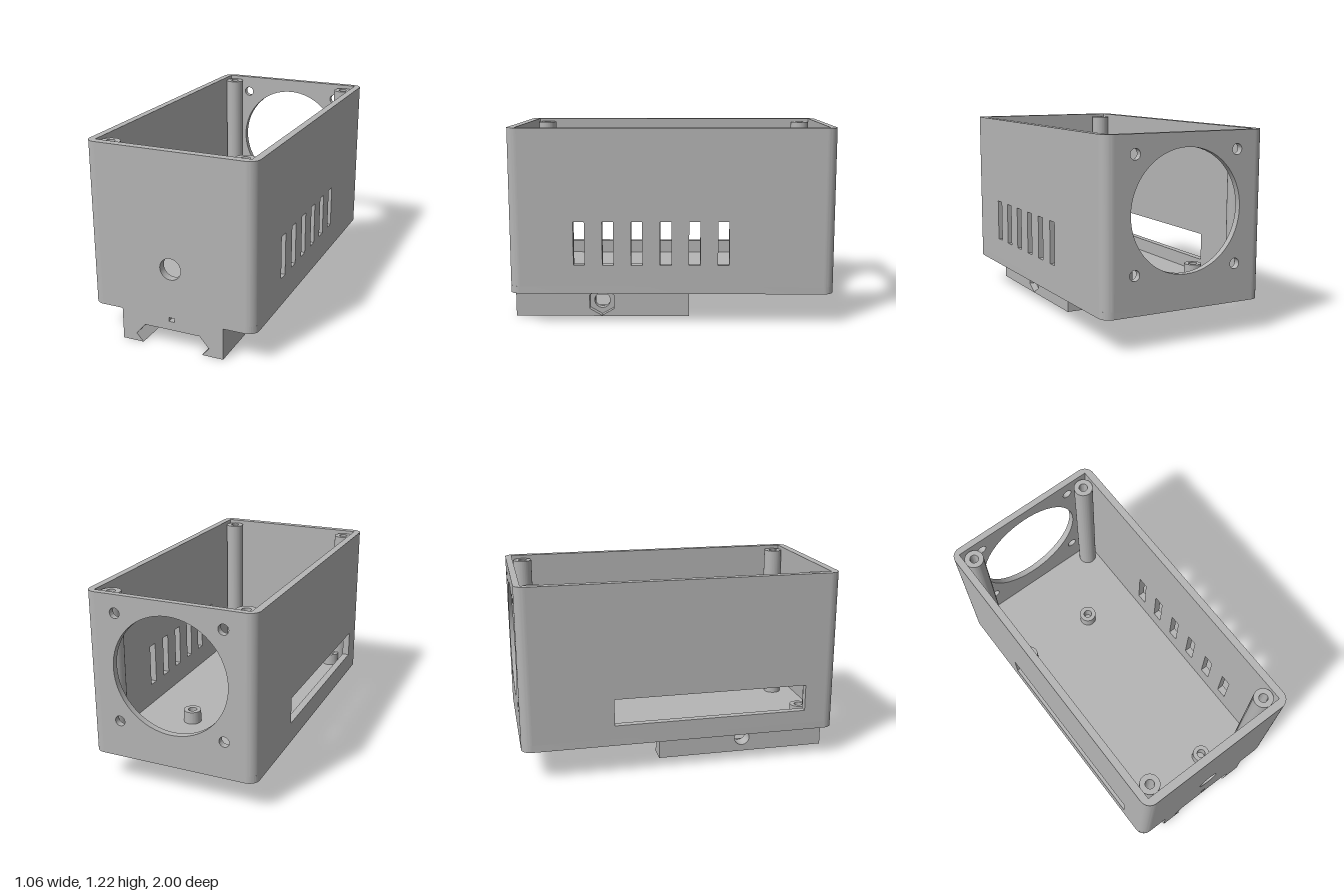
import * as THREE from 'three';
import { toCreasedNormals } from 'three/addons/utils/BufferGeometryUtils.js';

const TOP = 1.22, BASE = 0.2, FLOOR = 0.245;
const HX = 0.53, HZ = 1, R = 0.065;            // outer half sizes and corner radius
const SIDE = 0.045, FRONT = 0.05, BACK = 0.04; // wall thicknesses

const poly = (pts) => new THREE.Shape(pts.map(([a, b]) => new THREE.Vector2(a, b)));
const rect = (a0, b0, a1, b1) => poly([[a0, b0], [a1, b0], [a1, b1], [a0, b1]]);
const disc = (a, b, r) => new THREE.Shape().absarc(a, b, r, 0, Math.PI * 2, false);
const cut = (shape, ...holes) => { shape.holes.push(...holes); return shape; };

export function createModel() {
  const model = new THREE.Group();
  model.name = 'railMountedEnclosure';
  const grey = new THREE.MeshStandardMaterial({ color: 0xb5b5b5 });
  grey.name = 'grey plastic';

  // Extrude a shape between two positions along the given axis.
  // Shape coordinates: (x, y) for z, (z, y) for x, (x, z) for y.
  function part(name, shape, axis, from, to, parent = model) {
    const geo = new THREE.ExtrudeGeometry(shape, { depth: to - from, bevelEnabled: false, curveSegments: 32 });
    if (axis === 'x') geo.rotateY(-Math.PI / 2).translate(to, 0, 0);
    if (axis === 'y') geo.rotateX(Math.PI / 2).translate(0, to, 0);
    if (axis === 'z') geo.translate(0, 0, from);
    const mesh = new THREE.Mesh(toCreasedNormals(geo, 0.5), grey);
    mesh.name = name;
    parent.add(mesh);
    return mesh;
  }

  // Floor with rounded corners
  const floor = new THREE.Shape();
  floor.absarc(HX - R, HZ - R, R, 0, Math.PI / 2);
  floor.absarc(R - HX, HZ - R, R, Math.PI / 2, Math.PI);
  floor.absarc(R - HX, R - HZ, R, Math.PI, Math.PI * 1.5);
  floor.absarc(HX - R, R - HZ, R, Math.PI * 1.5, Math.PI * 2);
  part('floor', floor, 'y', BASE, FLOOR);

  // Corner columns joining the walls
  for (const sx of [1, -1]) for (const sz of [1, -1]) {
    const cx = HX - R, cz = HZ - R;
    const ix = HX - SIDE, iz = HZ - (sz > 0 ? FRONT : BACK);
    const pts = [];
    for (let i = 0; i <= 12; i++) {
      const a = (i / 12) * Math.PI / 2;
      pts.push([cx + R * Math.cos(a), cz + R * Math.sin(a)]);
    }
    pts.push([cx, iz], [ix, iz], [ix, cz]);
    part('wallCorner', poly(pts.map(([x, z]) => [sx * x, sz * z])), 'y', FLOOR, TOP);
  }

  // Front wall with cable hole
  const wx = HX - R, wz = HZ - R;
  part('frontWall', cut(rect(-wx, FLOOR, wx, TOP), disc(0, 0.512, 0.067)), 'z', HZ - FRONT, HZ);

  // Back wall with fan opening and four screw holes
  const fanY = 0.772, fanScrew = 0.337;
  const back = cut(rect(-wx, FLOOR, wx, TOP), disc(0, fanY, 0.363));
  for (const sx of [1, -1]) for (const sy of [1, -1])
    cut(back, disc(sx * fanScrew, fanY + sy * fanScrew, 0.032));
  part('backWall', back, 'z', -HZ, BACK - HZ);

  // Side wall with ventilation slots
  const slotted = rect(-wz, FLOOR, wz, TOP);
  for (let i = 0; i < 6; i++) {
    const z = 0.568 - i * 0.1775;
    cut(slotted, rect(z - 0.034, 0.38, z + 0.034, 0.65));
  }
  part('slottedWall', slotted, 'x', HX - SIDE, HX);

  // Side wall with long connector window
  part('windowWall', cut(rect(-wz, FLOOR, wz, TOP), rect(-0.43, 0.33, 0.8, 0.5)), 'x', -HX, SIDE - HX);

  // Lid screw posts and board standoffs
  for (const x of [-0.425, 0.42]) for (const z of [-0.89, 0.888])
    part('lidPost', cut(disc(x, z, 0.06), disc(x, z, 0.027)), 'y', FLOOR, 1.2);
  for (const x of [-0.39, 0.12]) for (const z of [-0.48, 0.81])
    part('boardStandoff', cut(disc(x, z, 0.055), disc(x, z, 0.027)), 'y', FLOOR, 0.325);

  // Rail clamp under the floor
  const clamp = new THREE.Group();
  clamp.name = 'railClamp';
  model.add(clamp);
  const z0 = -0.11, z1 = 1, boltZ = 0.45, boltY = 0.093, boltR = 0.05;
  const bolt = () => disc(boltZ, boltY, boltR);
  const hex = poly([...Array(6)].map((_, i) => {
    const a = (i + 0.5) * Math.PI / 3;
    return [boltZ + 0.09 * Math.cos(a), boltY + 0.09 * Math.sin(a)];
  }));
  const leg = () => rect(z0, 0, z1, BASE);

  // Legs: bolt hole through both, hexagonal nut pocket on one
  part('clampLeg', cut(leg(), bolt()), 'x', -0.33, -0.24, clamp);
  part('clampLeg', cut(leg(), bolt()), 'x', 0.24, 0.285, clamp);
  part('nutPocket', cut(leg(), hex), 'x', 0.285, 0.33, clamp);

  // Bridge with a bolt groove below and a square channel above
  const bridge = new THREE.Shape();
  const a = Math.asin((0.12 - boltY) / boltR);
  bridge.moveTo(z0, 0.12);
  bridge.absarc(boltZ, boltY, boltR, Math.PI - a, a, true);
  bridge.lineTo(z1, 0.12);
  bridge.lineTo(z1, 0.175);
  bridge.lineTo(z0, 0.175);
  part('clampBridge', bridge, 'x', -0.24, 0.24, clamp);

  for (const s of [1, -1]) {
    part('bridgeTop', rect(s * 0.018, 0.175, s * 0.24, BASE), 'z', z0, z1, clamp);
    // Slanted jaw faces, the upper one interrupted by the bolt
    const upper = poly([[s * 0.18, 0.12], [s * 0.24, 0.05], [s * 0.24, 0.12]]);
    part('upperJaw', upper, 'z', z0, boltZ - 0.047, clamp);
    part('upperJaw', upper, 'z', boltZ + 0.047, z1, clamp);
    part('lowerJaw', poly([[s * 0.195, 0], [s * 0.24, 0], [s * 0.24, 0.05]]), 'z', z0, z1, clamp);
  }
  return model;
}
